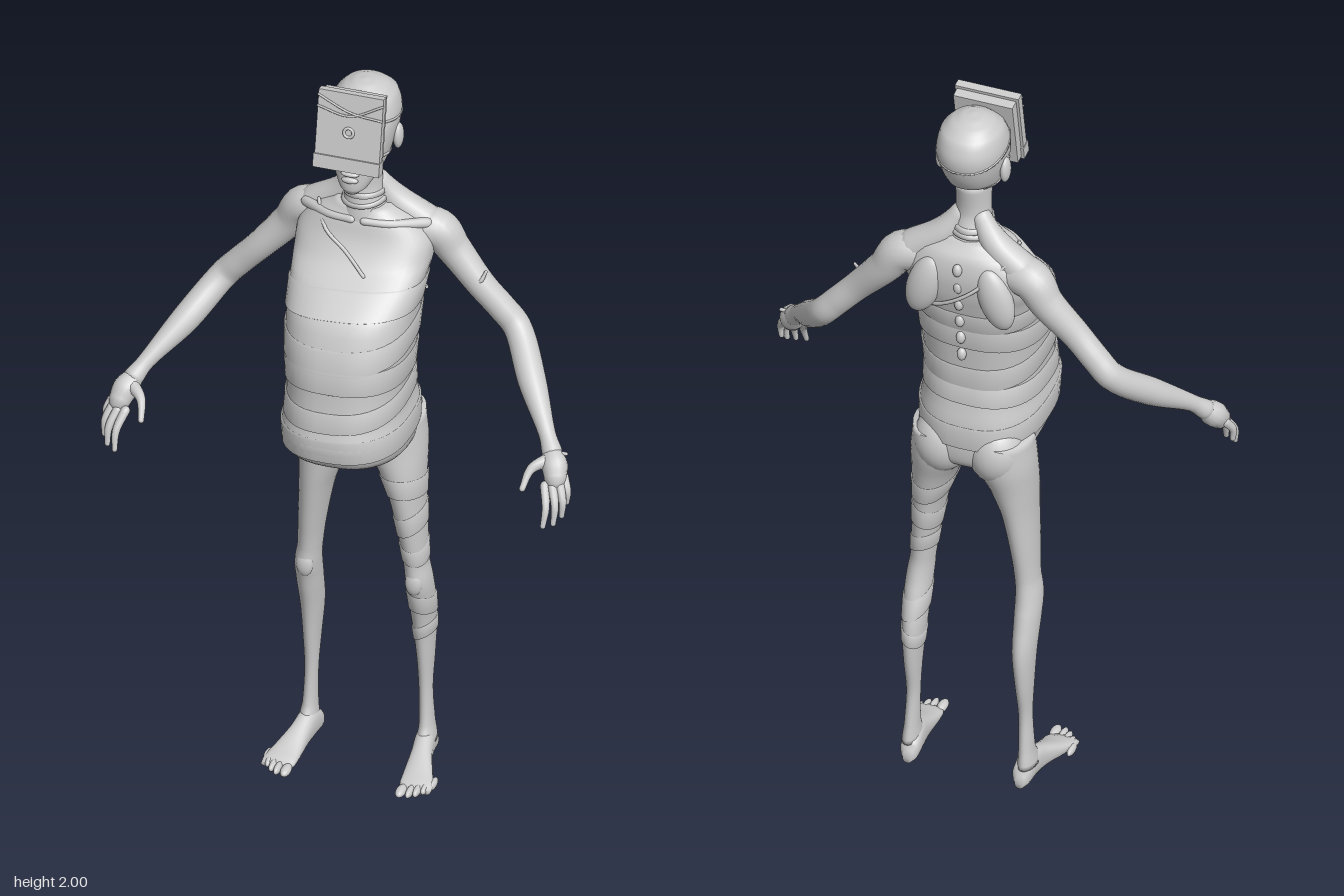
import * as THREE from 'three';

const clay = new THREE.MeshStandardMaterial({ color: 0xcccccc });
clay.name = 'pale grey';
const V = (x, y, z) => new THREE.Vector3(x, y, z);

// Closed skin over rings of n points each, capped at both ends
function skin(name, rings) {
  const n = rings[0].length, pos = [], idx = [];
  rings.forEach(r => r.forEach(p => pos.push(p.x, p.y, p.z)));
  for (let j = 0; j < rings.length - 1; j++) {
    for (let i = 0; i < n; i++) {
      const a = j * n + i, b = j * n + (i + 1) % n;
      idx.push(a, a + n, b, b, a + n, b + n);
    }
  }
  [0, rings.length - 1].forEach((j, end) => {
    const c = V(0, 0, 0);
    rings[j].forEach(p => c.addScaledVector(p, 1 / n));
    const k = pos.length / 3;
    pos.push(c.x, c.y, c.z);
    for (let i = 0; i < n; i++) {
      const a = j * n + i, b = j * n + (i + 1) % n;
      end ? idx.push(k, b, a) : idx.push(k, a, b);
    }
  });
  const g = new THREE.BufferGeometry();
  g.setAttribute('position', new THREE.Float32BufferAttribute(pos, 3));
  g.setIndex(idx);
  g.computeVertexNormals();
  const m = new THREE.Mesh(g, clay);
  m.name = name;
  return m;
}

// Smooth lookup in rows sorted by their first column
function section(rows, y) {
  let i = 0;
  while (i < rows.length - 2 && y > rows[i + 1][0]) i++;
  const t = THREE.MathUtils.clamp((y - rows[i][0]) / (rows[i + 1][0] - rows[i][0]), 0, 1);
  const at = k => rows[THREE.MathUtils.clamp(k, 0, rows.length - 1)];
  return rows[i].map((_, c) => {
    const p0 = at(i - 1)[c], p1 = at(i)[c], p2 = at(i + 1)[c], p3 = at(i + 2)[c];
    return p1 + 0.5 * t * (p2 - p0 + t * (2 * p0 - 5 * p1 + 4 * p2 - p3 + t * (3 * (p1 - p2) + p3 - p0)));
  });
}
const bulge = (v, e) => Math.sign(v) * Math.pow(Math.abs(v), 2 / e);
const angles = n => Array.from({ length: n }, (_, i) => i / n * Math.PI * 2);

// Point on an upright body: rows are [y, half width, front z, back z, centre x]
function bodyPoint(rows, y, a, e, s = 1, off = 0) {
  const [, w, f, b, cx = 0] = section(rows, y);
  return V(cx * s + (w + off) * bulge(Math.cos(a), e), y, (f + b) / 2 + ((f - b) / 2 + off) * bulge(Math.sin(a), e));
}
function steps(rows, sub) {
  const out = [];
  for (let i = 0; i < rows.length - 1; i++)
    for (let k = 0; k < sub; k++) out.push(rows[i][0] + (rows[i + 1][0] - rows[i][0]) * k / sub);
  return [...out, rows[rows.length - 1][0]];
}
const body = (name, rows, e = 2, s = 1) =>
  skin(name, steps(rows, 4).map(y => angles(40).map(a => bodyPoint(rows, y, a, e, s))));

// Tilted bandage hugging a body
const wrap = (name, rows, e, y, h, tilt, phase, s = 1, off = 0.004) =>
  skin(name, [[-h, -0.004], [-h * 0.85, off], [h * 0.85, off], [h, -0.004]].map(([d, o]) =>
    angles(48).map(a => bodyPoint(rows, y + d + tilt * Math.sin(a + phase), a, e, s, o))));

// Rounded limb through [x, y, z, radius] points
function limb(name, pts, s = 1, n = 14) {
  const curve = new THREE.CatmullRomCurve3(pts.map(p => V(p[0] * s, p[1], p[2])));
  const N = (pts.length - 1) * 6, rings = [];
  const radii = pts.map((p, i) => [i, p[3]]);
  const add = (t, k, push) => {
    const T = curve.getTangent(t), c = curve.getPoint(t);
    const r = section(radii, t * (pts.length - 1))[1];
    const A = V(0, 0.3, 1).cross(T).normalize(), B = T.clone().cross(A);
    c.addScaledVector(T, push * r);
    rings.push(angles(n).map(a => c.clone().addScaledVector(A, r * k * Math.cos(a)).addScaledVector(B, -r * k * Math.sin(a))));
  };
  add(0, 0.35, -0.8); add(0, 0.75, -0.5);
  for (let j = 0; j <= N; j++) add(j / N, 1, 0);
  add(1, 0.75, 0.5); add(1, 0.35, 0.8);
  return skin(name, rings);
}

function blob(name, x, y, z, sx, sy, sz, tilt = 0) {
  const m = new THREE.Mesh(new THREE.SphereGeometry(1, 24, 16), clay);
  m.name = name;
  m.position.set(x, y, z);
  m.scale.set(sx, sy, sz);
  m.rotation.z = tilt;
  return m;
}

const TORSO = [
  [0.93, 0.04, -0.04, -0.13], [0.95, 0.1, 0.0, -0.17], [0.97, 0.135, 0.08, -0.185], [1.0, 0.15, 0.17, -0.19],
  [1.03, 0.157, 0.212, -0.19], [1.08, 0.16, 0.223, -0.19], [1.13, 0.152, 0.21, -0.18], [1.2, 0.15, 0.2, -0.168],
  [1.3, 0.158, 0.188, -0.175], [1.4, 0.164, 0.15, -0.185], [1.46, 0.17, 0.085, -0.2], [1.5, 0.176, 0.025, -0.208],
  [1.55, 0.172, -0.012, -0.21], [1.6, 0.13, -0.03, -0.198], [1.635, 0.07, -0.045, -0.165]];
const HEAD = [
  [1.715, 0.016, 0.02, -0.01], [1.73, 0.036, 0.028, -0.05], [1.77, 0.06, 0.026, -0.12], [1.8, 0.071, 0.025, -0.172],
  [1.85, 0.083, 0.022, -0.2], [1.9, 0.088, 0.01, -0.21], [1.945, 0.078, -0.015, -0.195], [1.97, 0.056, -0.045, -0.165],
  [1.983, 0.03, -0.07, -0.135], [1.987, 0.005, -0.095, -0.105]];
const NECK = [[1.59, 0.075, -0.03, -0.18], [1.65, 0.052, -0.04, -0.16], [1.7, 0.045, -0.05, -0.142], [1.79, 0.046, -0.04, -0.15]];
const LEG = [
  [0.05, 0.024, -0.07, -0.165, 0.155], [0.1, 0.019, -0.093, -0.157, 0.153], [0.2, 0.017, -0.1, -0.15, 0.15],
  [0.3, 0.022, -0.09, -0.168, 0.149], [0.4, 0.029, -0.075, -0.174, 0.147], [0.5, 0.033, -0.05, -0.15, 0.147],
  [0.55, 0.033, -0.036, -0.136, 0.145], [0.6, 0.031, -0.035, -0.13, 0.139], [0.7, 0.036, -0.02, -0.14, 0.13],
  [0.8, 0.045, -0.006, -0.152, 0.118], [0.88, 0.061, 0, -0.168, 0.103], [0.95, 0.078, 0, -0.187, 0.085], [1.03, 0.075, 0, -0.19, 0.08]];
// Foot rows: [z, centre x, half width, height]
const FOOT = [[-0.17, 0.15, 0.012, 0.03], [-0.155, 0.15, 0.024, 0.06], [-0.11, 0.153, 0.026, 0.085], [-0.06, 0.16, 0.028, 0.068],
  [0, 0.172, 0.038, 0.042], [0.04, 0.179, 0.043, 0.028], [0.06, 0.182, 0.04, 0.02]];

function arm(s) {
  const g = new THREE.Group();
  g.name = s > 0 ? 'leftArm' : 'rightArm';
  g.add(limb('armLimb', [[0.11, 1.555, -0.13, 0.052], [0.175, 1.548, -0.145, 0.052], [0.215, 1.495, -0.15, 0.044],
    [0.29, 1.41, -0.14, 0.037], [0.345, 1.35, -0.142, 0.036], [0.385, 1.305, -0.138, 0.036], [0.455, 1.215, -0.045, 0.036],
    [0.525, 1.135, 0.05, 0.022], [0.55, 1.1, 0.082, 0.026]], s, 20));
  g.add(limb('palm', [[0.54, 1.11, 0.07, 0.021], [0.562, 1.08, 0.1, 0.033], [0.573, 1.05, 0.125, 0.028]], s));
  // Fingers spread from the palm, then the thumb
  [[0.55, 1.04, 0.142, 0.562, 0.95, 0.193], [0.57, 1.04, 0.14, 0.585, 0.955, 0.18],
    [0.585, 1.045, 0.13, 0.6, 0.968, 0.158], [0.59, 1.055, 0.11, 0.604, 0.992, 0.13]].forEach(([x, y, z, X, Y, Z]) =>
    g.add(limb('finger', [[x, y, z, 0.012], [(x + X) / 2 + 0.008, (y + Y) / 2, (z + Z) / 2 + 0.008, 0.01], [X, Y, Z, 0.007]], s, 10)));
  g.add(limb('thumb', [[0.548, 1.09, 0.1, 0.018], [0.512, 1.075, 0.135, 0.012], [0.5, 1.035, 0.17, 0.008]], s, 10));
  return g;
}

function leg(s) {
  const g = new THREE.Group();
  g.name = s > 0 ? 'leftLeg' : 'rightLeg';
  g.add(body('legLimb', LEG, 2, s));
  g.add(blob('kneecap', 0.143 * s, 0.55, -0.048, 0.022, 0.035, 0.016));
  g.add(blob('buttock', 0.072 * s, 0.99, -0.125, 0.073, 0.09, 0.075));
  g.add(skin('foot', steps(FOOT, 3).map(z => {
    const [, cx, w, h] = section(FOOT, z);
    return angles(24).map(a => V(s * cx + w * Math.cos(a), h / 2 - h / 2 * bulge(Math.sin(a), 2.6), z));
  })));
  [0.151, 0.173, 0.189, 0.204, 0.217].forEach((x, i) =>
    g.add(blob('toe', x * s, 0.012, 0.075 - i * i * 0.0035, i ? 0.009 : 0.013, 0.012, 0.027)));
  return g;
}

function headBox() {
  const g = new THREE.Group();
  g.name = 'faceBox';
  g.position.set(-0.004, 1.893, 0);
  g.rotation.x = -0.2;
  const box = (name, w, h, d, x, y, z) => {
    const m = new THREE.Mesh(new THREE.BoxGeometry(w, h, d), clay);
    m.name = name;
    m.position.set(x, y, z);
    g.add(m);
  };
  box('boxBack', 0.158, 0.195, 0.026, 0, 0, -0.014);
  box('boxFront', 0.17, 0.208, 0.022, 0, 0, 0.012);
  box('lowerLip', 0.174, 0.036, 0.032, 0, -0.086, 0.012);
  const knob = new THREE.Mesh(new THREE.TorusGeometry(0.012, 0.004, 8, 20), clay);
  knob.name = 'peephole';
  knob.position.z = 0.024;
  g.add(knob);
  // Cords tied across the front
  g.add(limb('cord', [[-0.085, 0.06, 0.024, 0.003], [0, 0.045, 0.025, 0.003], [0.085, 0.085, 0.024, 0.003]], 1, 8));
  g.add(limb('cord', [[-0.085, 0.09, 0.024, 0.003], [0, 0.055, 0.025, 0.003], [0.085, 0.045, 0.024, 0.003]], 1, 8));
  return g;
}

export function createModel() {
  const model = new THREE.Group();
  model.name = 'boxFacedFigure';
  model.add(body('torso', TORSO, 2.5), body('neck', NECK), body('head', HEAD, 2.15), headBox());
  // Torso, neck and head bandages
  [[1.06, 0.035, 0.012, 0.4], [1.16, 0.03, 0.015, 2.5], [1.24, 0.035, 0.02, 0.2], [1.33, 0.035, 0.02, 2.8], [1.42, 0.03, 0.02, 0.5]]
    .forEach(([y, h, t, p]) => model.add(wrap('torsoBandage', TORSO, 2.5, y, h, t, p)));
  model.add(wrap('neckWrap', NECK, 2, 1.665, 0.007, 0.006, 0.4), wrap('neckWrap', NECK, 2, 1.645, 0.006, 0.004, 2));
  model.add(wrap('headStrap', HEAD, 2.15, 1.8, 0.004, 0.03, 0, 1, 0.003), wrap('headStrap', HEAD, 2.15, 1.895, 0.003, 0.025, 0, 1, 0.002));
  [[0.83, 0.03], [0.73, 0.03], [0.64, 0.025], [0.47, 0.03], [0.38, 0.02]].forEach(([y, h], i) =>
    model.add(wrap('legBandage', LEG, 2, y, h, 0.014, i * 1.9, 1, 0.003)));
  // Lips and nose tip below the box
  model.add(blob('lips', 0, 1.76, 0.025, 0.022, 0.009, 0.01), blob('lips', 0, 1.778, 0.025, 0.024, 0.007, 0.01));
  model.add(blob('nose', 0, 1.802, 0.03, 0.014, 0.014, 0.014));
  // Spine bumps
  for (let i = 0; i < 6; i++) model.add(blob('vertebra', 0, 1.3 + i * 0.055, -0.18 - i * 0.006, 0.012, 0.018, 0.012));
  for (const s of [1, -1]) {
    model.add(arm(s), leg(s));
    model.add(limb('trapezius', [[0.025, 1.69, -0.115, 0.026], [0.07, 1.625, -0.13, 0.038], [0.15, 1.565, -0.14, 0.045]], s));
    model.add(blob('shoulderBlade', s * 0.095, 1.5, -0.19, 0.045, 0.09, 0.034, s * 0.3));
    model.add(limb('collarbone', [[0.015, 1.605, -0.035, 0.01], [0.08, 1.6, -0.05, 0.011], [0.16, 1.585, -0.11, 0.014]], s));
    model.add(blob('ear', s * 0.086, 1.835, -0.1, 0.013, 0.036, 0.022));
  }
  // Sash across chest and back
  model.add(limb('chestSash', [[-0.12, 1.612, -0.09, 0.005], [-0.08, 1.57, -0.025, 0.005], [-0.02, 1.53, 0.0, 0.005], [0.04, 1.49, 0.038, 0.005]], 1, 8));
  model.add(limb('backSash', [[-0.12, 1.6, -0.17, 0.005], [-0.04, 1.52, -0.215, 0.005], [0.06, 1.45, -0.198, 0.005], [0.16, 1.4, -0.1, 0.005]], 1, 8));
  // Pegs in the left arm
  model.add(limb('armPeg', [[0.27, 1.435, -0.125, 0.006], [0.295, 1.435, -0.115, 0.006], [0.308, 1.46, -0.125, 0.004]], 1, 8));
  model.add(limb('wristPeg', [[0.555, 1.105, 0.085, 0.005], [0.588, 1.105, 0.085, 0.005]], 1, 8));
  return model;
}
